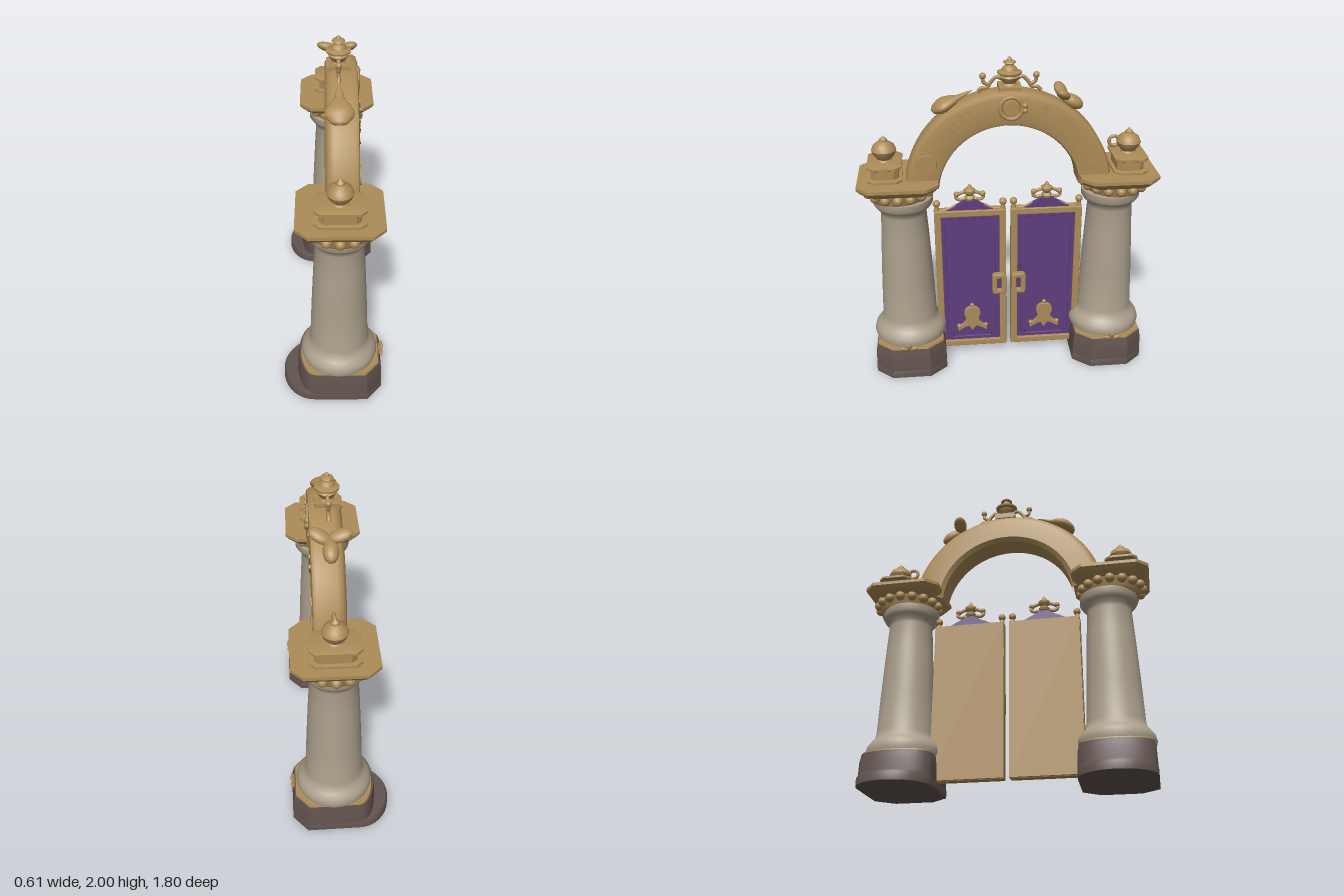
import * as THREE from 'three';
import { toCreasedNormals } from 'three/addons/utils/BufferGeometryUtils.js';

const mat = (name, color) => Object.assign(new THREE.MeshStandardMaterial({ color }), { name });
const V2 = (p) => p.map(([x, y]) => new THREE.Vector2(x, y));
const V3 = (p) => p.map(([x, y, z]) => new THREE.Vector3(x, y, z));

function add(parent, name, geo, material, x = 0, y = 0, z = 0) {
  const m = new THREE.Mesh(geo, material);
  m.name = name;
  m.position.set(x, y, z);
  parent.add(m);
  return m;
}
function group(parent, name, x = 0, y = 0, z = 0) {
  const g = new THREE.Group();
  g.name = name;
  g.position.set(x, y, z);
  parent.add(g);
  return g;
}
const ball = (r) => new THREE.SphereGeometry(r, 16, 12);
const turned = (p, n = 24) => toCreasedNormals(new THREE.LatheGeometry(V2(p), n), 0.7);
const tube = (p, r) => new THREE.TubeGeometry(new THREE.CatmullRomCurve3(V3(p)), 24, r, 8);
const slab = (shape, depth, bevel = 0) => new THREE.ExtrudeGeometry(shape, {
  depth, curveSegments: 16, bevelEnabled: bevel > 0, bevelSize: bevel, bevelThickness: bevel, bevelSegments: 2,
});
function rect(w, h, r) {
  const s = new THREE.Shape(), x = w / 2, y = h / 2;
  s.moveTo(-x + r, -y).lineTo(x - r, -y).quadraticCurveTo(x, -y, x, -y + r).lineTo(x, y - r);
  s.quadraticCurveTo(x, y, x - r, y).lineTo(-x + r, y).quadraticCurveTo(-x, y, -x, y - r);
  s.lineTo(-x, -y + r).quadraticCurveTo(-x, -y, -x + r, -y);
  return s;
}
function rectRing(w, h, t, r = 0.002) {
  const s = rect(w, h, r);
  s.holes.push(rect(w - 2 * t, h - 2 * t, r));
  return s;
}
// Stack scaled copies of a flat outline: levels are [height, scale]
function loft(outline, levels) {
  const n = outline.length, pos = [], idx = [];
  levels.forEach(([y, s]) => outline.forEach(([a, b]) => pos.push(a * s, y, b * s)));
  const last = (levels.length - 1) * n, c = levels.length * n;
  pos.push(0, levels[0][0], 0, 0, levels[levels.length - 1][0], 0);
  for (let i = 0; i < n; i++) {
    const k = (i + 1) % n;
    for (let j = 0; j < last; j += n) idx.push(j + i, j + n + i, j + k, j + k, j + n + i, j + n + k);
    idx.push(c, i, k, c + 1, last + k, last + i);
  }
  const g = new THREE.BufferGeometry();
  g.setAttribute('position', new THREE.Float32BufferAttribute(pos, 3));
  g.setIndex(idx);
  return toCreasedNormals(g, 0.6);
}
const cutRect = (a, b, c) => [[a, -b + c], [a, b - c], [a - c, b], [-a + c, b], [-a, b - c], [-a, -b + c], [-a + c, -b], [a - c, -b]];

export function createModel() {
  const gold = mat('gold', 0xad8c58), purple = mat('purple', 0x5f3d7e);
  const stone = mat('stone', 0xaca08c), dark = mat('darkStone', 0x62534f);
  const model = new THREE.Group();
  model.name = 'archedGate';
  // Local axes: x along the gate, z out of its decorated side
  const gate = group(model, 'gate');
  gate.rotation.y = Math.PI / 2;

  // Base outline: bevelled at the front, round at the back
  const baseOutline = (back) => {
    const p = [[0.225, 0.2], [0.12, 0.29], [-0.12, 0.29], [-0.225, 0.2]];
    for (let i = 0; i <= 18; i++) {
      const t = Math.PI * (1 + i / 18);
      p.push([0.222 * Math.cos(t), -0.12 + (back - 0.12) * Math.sin(t)]);
    }
    return p;
  };
  const urn = [[0, 0], [0.055, 0], [0.05, 0.02], [0.04, 0.03], [0.065, 0.06], [0.074, 0.085], [0.062, 0.115],
    [0.035, 0.135], [0.025, 0.14], [0.024, 0.15], [0.012, 0.16], [0, 0.175]];

  for (const side of [-1, 1]) {
    const pillar = group(gate, side < 0 ? 'leftPillar' : 'rightPillar', side * 0.638, 0, 0);
    add(pillar, 'baseFoot', loft(baseOutline(0.31), [[0, 1], [0.045, 1], [0.06, 0.97]]), dark);
    add(pillar, 'baseBlock', loft(baseOutline(0.225), [[0.03, 0.995], [0.15, 0.985], [0.18, 0.96], [0.198, 0.95]]), dark);
    add(pillar, 'baseTrim', loft(baseOutline(0.22), [[0.197, 0.93], [0.208, 0.92]]), gold);
    // Small blossom on the base
    const blossom = group(pillar, 'baseBlossom', side * 0.01, 0.215, 0.275);
    for (const a of [-1, 0, 1]) {
      const petal = add(blossom, 'petal', ball(0.03), gold, a * 0.028, a ? 0 : 0.012, 0.008);
      petal.scale.set(0.55, 1, 0.4);
      petal.rotation.set(0.5, 0, -a * 1.1);
    }
    add(pillar, 'shaft', turned([[0.2, 0.2], [0.222, 0.205], [0.23, 0.235], [0.222, 0.265], [0.2, 0.295], [0.182, 0.315],
      [0.173, 0.35], [0.163, 0.6], [0.148, 0.9], [0.138, 1.06], [0.142, 1.085], [0.168, 1.11], [0.18, 1.13], [0.18, 1.17], [0.1, 1.18]], 40),
    stone, 0, 0, 0.03);

    // Capital with a row of beads
    const capital = group(pillar, 'capital', side * 0.022, 0, 0.03);
    add(capital, 'capitalNeck', turned([[0.1, 1.155], [0.165, 1.16], [0.178, 1.18], [0.185, 1.24], [0.2, 1.27]], 32), gold);
    add(capital, 'capitalSlab', loft(cutRect(0.238, 0.242, 0.07), [[1.235, 0.8], [1.255, 0.92], [1.272, 0.97], [1.28, 1], [1.3, 1]]), gold);
    for (let i = 0; i < 16; i++) {
      const a = (i / 16) * Math.PI * 2;
      add(capital, 'bead', ball(0.03), gold, 0.192 * Math.cos(a), 1.215, 0.192 * Math.sin(a));
    }
    // Finial on its plinth
    const finial = group(pillar, 'finial', side * 0.095, 1.295, 0.03);
    add(finial, 'plinth', loft(cutRect(0.102, 0.142, 0.035), [[0, 1], [0.018, 1], [0.022, 0.8], [0.075, 0.8], [0.088, 1], [0.102, 1], [0.106, 0.9]]), gold);
    add(finial, 'finialUrn', turned(urn), gold, 0, 0.085, 0);
    if (side > 0) {
      add(finial, 'ringHandle', new THREE.TorusGeometry(0.03, 0.011, 8, 24), gold, -0.09, 0.175, 0);
    }
  }

  // Arch: closed profile swept about the arch centre
  const arch = group(gate, 'arch', 0, 1.2, 0);
  const profile = V2([[0.42, -0.03], [0.445, -0.05], [0.575, -0.048], [0.605, -0.03], [0.62, 0], [0.62, 0.115],
    [0.608, 0.135], [0.59, 0.14], [0.445, 0.14], [0.428, 0.134], [0.42, 0.115], [0.42, -0.03]]);
  const archGeo = new THREE.LatheGeometry(profile, 56, Math.PI / 2 + 0.1, Math.PI - 0.2);
  add(arch, 'archBand', toCreasedNormals(archGeo.rotateX(Math.PI / 2), 0.6), gold);
  // Raised bars and plaques: [angle from the top, radius, width, height]
  const plaques = [[-0.83, 0.525, 0.015, 0.06], [-0.7, 0.525, 0.015, 0.08], [-0.62, 0.525, 0.015, 0.08], [-0.52, 0.53, 0.018, 0.1],
    [-0.43, 0.53, 0.018, 0.1], [0.38, 0.53, 0.025, 0.1], [0.62, 0.53, 0.022, 0.1], [0.72, 0.53, 0.022, 0.1],
    [1.05, 0.53, 0.05, 0.065], [1.26, 0.53, 0.055, 0.065]];
  for (const [a, r, w, h] of plaques) {
    add(arch, 'archPlaque', slab(rect(w, h, 0.004), 0.01), gold, r * Math.sin(a), r * Math.cos(a), 0.138).rotation.z = -a;
  }
  const oval = add(arch, 'archOval', new THREE.CylinderGeometry(0.055, 0.058, 0.012, 28).rotateX(Math.PI / 2), gold, -0.485, 0.205, 0.143);
  oval.scale.x = 1.05;
  add(arch, 'keystoneRing', new THREE.TorusGeometry(0.064, 0.012, 10, 32), gold, 0.01, 0.53, 0.14);
  add(arch, 'keystoneDisc', new THREE.CylinderGeometry(0.045, 0.05, 0.012, 28).rotateX(Math.PI / 2), gold, 0.01, 0.53, 0.143);
  for (const y of [0.515, 0.545]) add(arch, 'keystoneBead', ball(0.017), gold, 0.088, y, 0.143);

  // Crowning urn with scrolls
  const crown = group(gate, 'crown', 0.01, 1.8, 0.03);
  add(crown, 'crownPlate', new THREE.BoxGeometry(0.13, 0.035, 0.14), gold, 0, 0.02, 0);
  add(crown, 'crownUrn', turned([[0, 0.03], [0.045, 0.035], [0.035, 0.05], [0.05, 0.07], [0.058, 0.085], [0.05, 0.095], [0.07, 0.105],
    [0.072, 0.115], [0.045, 0.125], [0.04, 0.14], [0.026, 0.15], [0.024, 0.16], [0.038, 0.167], [0.034, 0.175], [0.014, 0.183], [0.012, 0.192], [0, 0.204]]), gold);
  for (const s of [-1, 1]) {
    add(crown, 'crownScroll', tube([[0.04, 0.07, 0], [0.075, 0.085, 0], [0.105, 0.06, 0], [0.13, 0.025, 0], [0.165, 0.02, 0], [0.185, 0.0, 0]]
      .map(([x, y, z]) => [s * x, y, z]), 0.011), gold);
    add(crown, 'crownSprig', tube([[s * 0.12, 0.04, 0], [s * 0.15, 0.055, 0], [s * 0.155, 0.085, 0]], 0.011), gold);
    add(crown, 'crownBead', ball(0.019), gold, s * 0.155, 0.092, 0);
  }
  // Bud and spread leaves resting on the arch
  const bud = group(gate, 'bud', -0.37, 1.73, 0.03);
  bud.rotation.z = -1.12;
  const budMesh = add(bud, 'budBody', turned([[0, -0.085], [0.045, -0.07], [0.078, -0.03], [0.082, 0.005], [0.06, 0.05], [0.03, 0.09], [0.015, 0.15], [0, 0.19]]), gold);
  budMesh.scale.x = 0.5;
  const leaves = group(gate, 'leafSpray', 0.32, 1.76, 0.03);
  leaves.rotation.z = -0.5;
  add(leaves, 'leafHeart', ball(0.05), gold, 0.07, 0, 0).scale.set(1.4, 0.8, 0.9);
  for (const s of [-1, 1]) {
    const leaf = add(leaves, 'leaf', ball(0.07), gold, -0.015, 0.02, s * 0.055);
    leaf.scale.set(0.6, 0.4, 1);
    leaf.rotation.set(-s * 0.25, s > 0 ? -0.5 : 0.15, 0);
  }

  // Doors, mirrored about the middle
  for (const side of [-1, 1]) {
    const door = group(gate, side < 0 ? 'leftDoor' : 'rightDoor', 0.004 + side * 0.238, 0, 0);
    add(door, 'doorBack', new THREE.BoxGeometry(0.44, 0.99, 0.02), gold, 0, 0.55, -0.01);
    add(door, 'doorFrame', slab(rectRing(0.436, 0.99, 0.032, 0.006), 0.045, 0.005), gold, 0, 0.55, 0);
    add(door, 'doorPanel', new THREE.BoxGeometry(0.38, 0.94, 0.02), purple, 0, 0.55, 0.012);
    add(door, 'panelMoulding', slab(rectRing(0.366, 0.92, 0.022), 0.01, 0.004), purple, 0, 0.55, 0.02);
    for (const sx of [-1, 1]) for (const sy of [-1, 1]) {
      add(door, 'panelCorner', new THREE.CylinderGeometry(0.03, 0.03, 0.012, 4).rotateX(Math.PI / 2), purple, sx * 0.15, 0.55 + sy * 0.43, 0.028);
    }
    // Crest and its ornament
    const crest = new THREE.Shape();
    crest.moveTo(-0.2, 1.03).lineTo(0.2, 1.03).quadraticCurveTo(0.12, 1.055, 0.09, 1.075).quadraticCurveTo(0.04, 1.1, 0, 1.13);
    crest.quadraticCurveTo(-0.04, 1.1, -0.09, 1.075).quadraticCurveTo(-0.12, 1.055, -0.2, 1.03);
    add(door, 'crest', slab(crest, 0.035), purple, 0, 0, 0.003);
    add(door, 'crestKnob', turned([[0, 1.11], [0.03, 1.115], [0.035, 1.13], [0.02, 1.145], [0.036, 1.165], [0.036, 1.18], [0.014, 1.195], [0.012, 1.205], [0, 1.222]], 16), gold, 0, 0, 0.02);
    for (const s of [-1, 1]) {
      add(door, 'crestTrim', tube([[s * 0.2, 1.042, 0.02], [s * 0.13, 1.056, 0.02], [s * 0.085, 1.08, 0.02]], 0.008), gold);
      add(door, 'crestScroll', tube([[0, 1.155, 0.02], [s * 0.035, 1.165, 0.02], [s * 0.07, 1.15, 0.02], [s * 0.085, 1.13, 0.02], [s * 0.065, 1.115, 0.02], [s * 0.035, 1.12, 0.02]], 0.011), gold);
      add(door, 'crestBead', ball(0.017), gold, s * 0.08, 1.152, 0.02);
      add(door, 'cornerPost', new THREE.CylinderGeometry(0.011, 0.018, 0.04, 12), gold, s * 0.205, 1.06, 0.02);
      add(door, 'cornerBall', ball(0.023), gold, s * 0.205, 1.093, 0.02);
    }
    // Handle near the middle gap
    add(door, 'handle', slab(rectRing(0.078, 0.13, 0.018, 0.014), 0.03, 0.006), gold, -side * 0.176, 0.53, 0.045);
    add(door, 'handleInset', new THREE.BoxGeometry(0.05, 0.1, 0.008), purple, -side * 0.176, 0.53, 0.052);
    // Bell-shaped emblem with curled feet
    const bell = new THREE.Shape();
    bell.moveTo(0, 0.165).lineTo(0.022, 0.2).quadraticCurveTo(0.06, 0.19, 0.09, 0.165).quadraticCurveTo(0.1, 0.195, 0.075, 0.2);
    bell.quadraticCurveTo(0.035, 0.225, 0.038, 0.26).bezierCurveTo(0.06, 0.29, 0.05, 0.34, 0, 0.34);
    bell.bezierCurveTo(-0.05, 0.34, -0.06, 0.29, -0.038, 0.26).quadraticCurveTo(-0.035, 0.225, -0.075, 0.2);
    bell.quadraticCurveTo(-0.1, 0.195, -0.09, 0.165).quadraticCurveTo(-0.06, 0.19, -0.022, 0.2).lineTo(0, 0.165);
    add(door, 'emblem', slab(bell, 0.014, 0.004), gold, 0, 0, 0.022);
    add(door, 'emblemTip', ball(0.014), gold, 0, 0.352, 0.028);
    for (const s of [-1, 1]) add(door, 'emblemFoot', ball(0.015), gold, s * 0.088, 0.195, 0.028);
  }
  return model;
}
